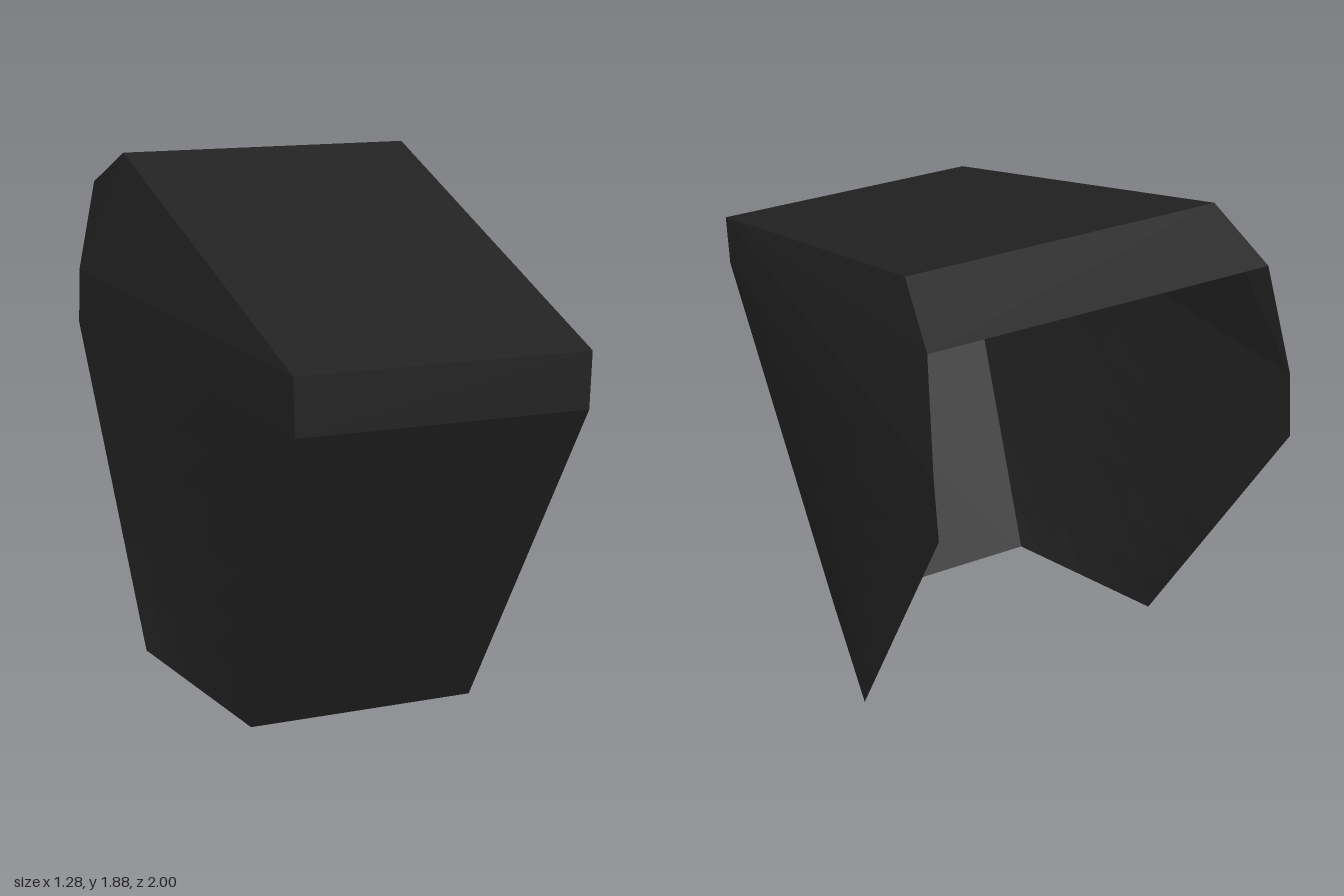
import * as THREE from 'three';

const material = new THREE.MeshStandardMaterial({ color: 0x222222, flatShading: true, side: THREE.DoubleSide });

// Thin four-cornered panel, corners counter-clockwise from outside, blended between its edges
function panel(name, a, b, c, d, steps = 1) {
  const [A, B, C, D] = [a, b, c, d].map(p => new THREE.Vector3(...p));
  const geometry = new THREE.PlaneGeometry(1, 1, steps, steps);
  const pos = geometry.attributes.position;
  for (let i = 0; i < pos.count; i++) {
    const u = pos.getX(i) + 0.5, v = pos.getY(i) + 0.5;
    const p = A.clone().lerp(B, u).lerp(D.clone().lerp(C, u), v);
    pos.setXYZ(i, p.x, p.y, p.z);
  }
  geometry.computeVertexNormals();
  const mesh = new THREE.Mesh(geometry, material);
  mesh.name = name;
  return mesh;
}

export function createModel() {
  const model = new THREE.Group();
  model.name = 'openHood';
  const mirror = ([x, y, z]) => [-x, y, z];

  // Corners on the +x side
  const ridge = [0.55, 1.88, -0.62];
  const rearLip = [0.6, 1.75, -0.86];
  const rearUpper = [0.64, 1.4, -0.97];
  const rearLower = [0.64, 1.19, -1];
  const rearFoot = [0.595, 0.07, -0.32];
  const frontFoot = [0.415, 0, 0.34];
  const frontLower = [0.495, 1.2, 1];
  const frontUpper = [0.5, 1.39, 1];

  // Panels spanning the width; back and underside stay open
  const across = (name, low, high) => model.add(panel(name, mirror(low), low, high, mirror(high)));
  across('frontPanel', frontFoot, frontLower);
  across('frontBand', frontLower, frontUpper);
  across('topPanel', frontUpper, ridge);
  across('rearSlope', ridge, rearLip);

  // Flared side walls
  const sides = [
    ['SideWall', frontFoot, rearFoot, rearLower, frontLower, 6],
    ['SideBand', frontLower, rearLower, rearUpper, frontUpper, 1],
    ['UpperSide', frontUpper, rearUpper, rearLip, ridge, 1],
  ];
  for (const [name, a, b, c, d, steps] of sides) {
    model.add(panel('left' + name, a, b, c, d, steps));
    model.add(panel('right' + name, ...[b, a, d, c].map(mirror), steps));
  }
  return model;
}
